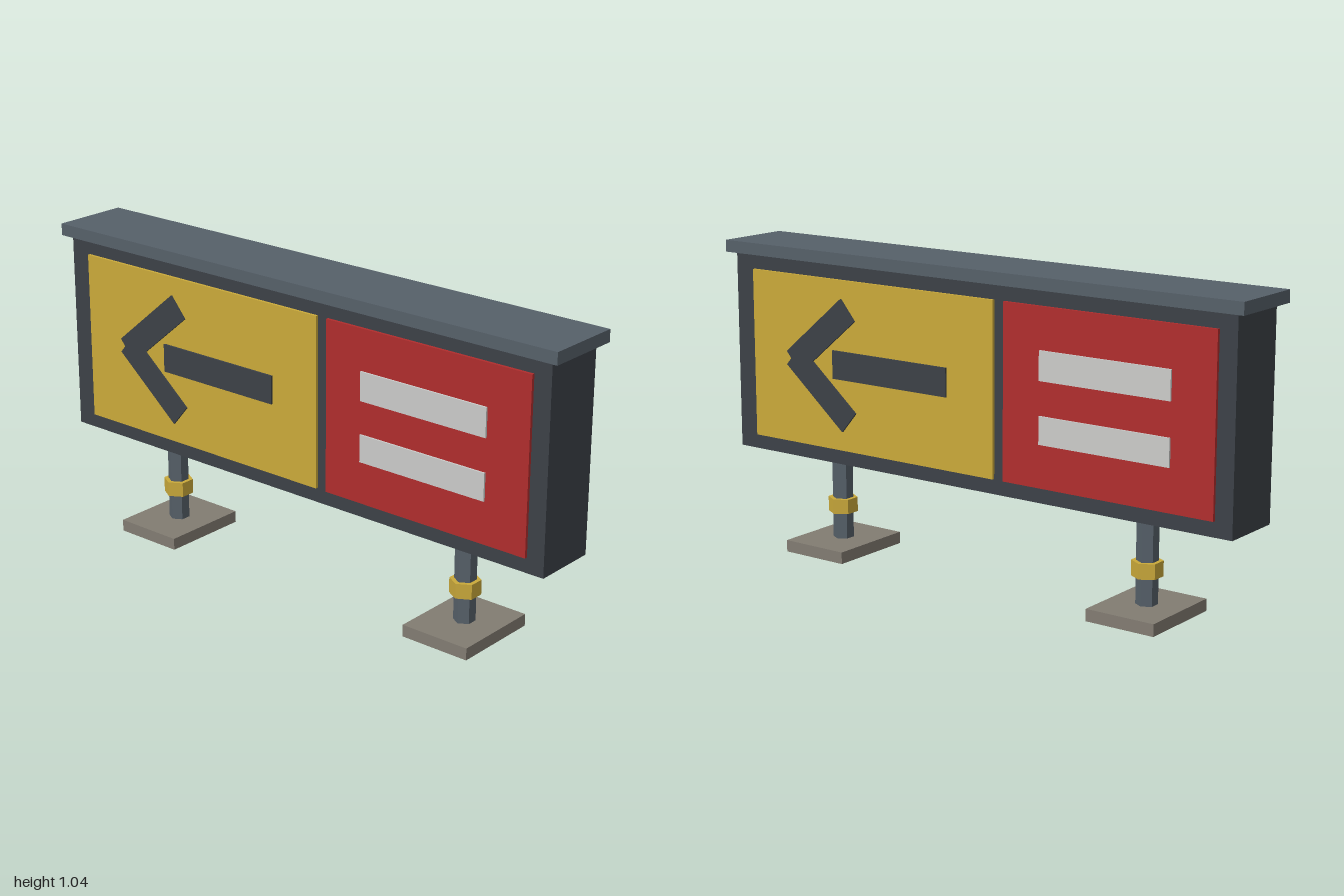
import * as THREE from 'three';

const mat = (name, color) => {
  const m = new THREE.MeshStandardMaterial({ color });
  m.name = name;
  return m;
};

export function createModel() {
  const charcoal = mat('charcoal', 0x3c4147);
  const steel = mat('steel grey', 0x566069);
  const yellow = mat('yellow', 0xcaa93a);
  const red = mat('red', 0xb02d2d);
  const white = mat('pale grey', 0xcbcbc9);
  const stone = mat('stone', 0x827c72);

  const model = new THREE.Group();
  model.name = 'directionSign';

  // Box given by its x, y and z limits
  const box = (parent, name, m, [x0, x1], [y0, y1], [z0, z1]) => {
    const mesh = new THREE.Mesh(new THREE.BoxGeometry(x1 - x0, y1 - y0, z1 - z0), m);
    mesh.position.set((x0 + x1) / 2, (y0 + y1) / 2, (z0 + z1) / 2);
    mesh.name = name;
    parent.add(mesh);
    return mesh;
  };

  // Upright hexagonal prism with a corner facing the front
  const hex = (parent, name, m, r, y0, y1) => {
    const geo = new THREE.CylinderGeometry(r, r, y1 - y0, 6).toNonIndexed();
    geo.computeVertexNormals();
    const mesh = new THREE.Mesh(geo, m);
    mesh.position.y = (y0 + y1) / 2;
    mesh.name = name;
    parent.add(mesh);
  };

  // Cabinet and overhanging cap
  box(model, 'cabinet', charcoal, [-0.97, 0.97], [0.33, 1], [-0.11, 0.11]);
  box(model, 'cap', steel, [-1, 1], [1, 1.04], [-0.132, 0.132]);

  // One sign face: two panels, an arrow and two bars; the back is the same face turned round
  const plate = [0.11, 0.12];
  const mark = [0.12, 0.1265];
  for (const side of ['front', 'back']) {
    const face = new THREE.Group();
    face.name = side + 'Face';
    box(face, 'yellowPanel', yellow, [-0.89, 0.11], [0.38, 0.95], plate);
    box(face, 'redPanel', red, [0.15, 0.91], [0.38, 0.95], plate);
    box(face, 'arrowShaft', charcoal, [-0.54, -0.07], [0.62, 0.715], mark);
    for (const s of [1, -1]) {
      const y = 0.667 + s * 0.088;
      const arm = box(face, s > 0 ? 'upperArrowArm' : 'lowerArrowArm', charcoal,
        [-0.747, -0.437], [y - 0.045, y + 0.045], mark);
      arm.rotation.z = s * THREE.MathUtils.degToRad(40);
    }
    box(face, 'upperBar', white, [0.29, 0.76], [0.72, 0.815], mark);
    box(face, 'lowerBar', white, [0.29, 0.76], [0.52, 0.61], mark);
    if (side === 'back') face.rotation.y = Math.PI;
    model.add(face);
  }

  // Legs: foot plate, hexagonal post and collar
  for (const s of [1, -1]) {
    const leg = new THREE.Group();
    leg.name = s > 0 ? 'leftLeg' : 'rightLeg';
    leg.position.x = s * 0.612;
    box(leg, 'foot', stone, [-0.122, 0.122], [0, 0.04], [-0.153, 0.153]);
    hex(leg, 'post', steel, 0.035, 0.04, 0.33);
    hex(leg, 'collar', yellow, 0.05, 0.13, 0.18);
    model.add(leg);
  }

  return model;
}
